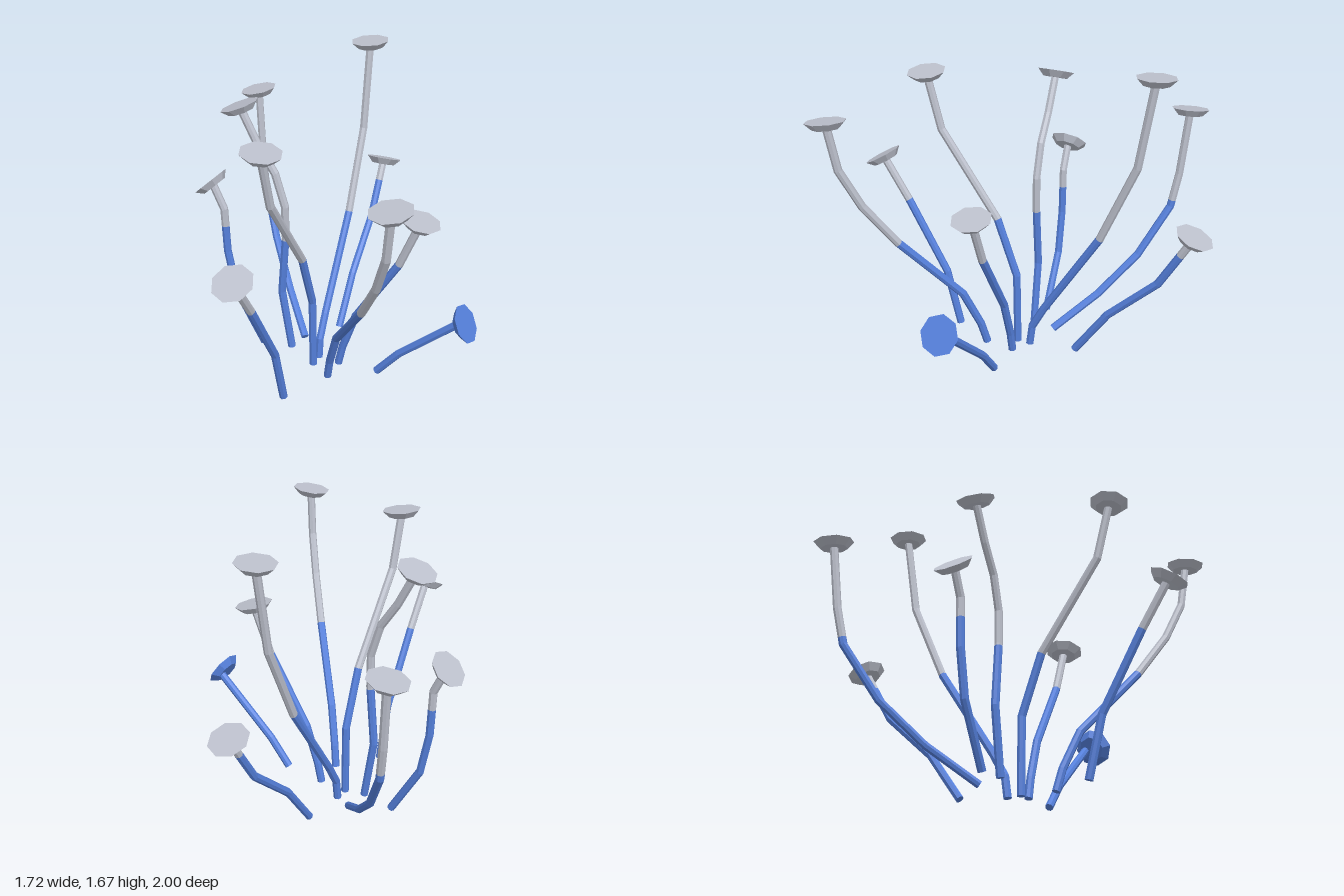
import * as THREE from 'three';

const SPLIT = 0.757; // height where the colour changes
const R = 0.022, SIDES = 8;

// Adds a path point where the stalk crosses the colour change.
function withSplit(path) {
  const out = [path[0]];
  for (let i = 1; i < path.length; i++) {
    const [a, b] = [path[i - 1], path[i]];
    const t = (SPLIT - a[1]) / (b[1] - a[1]);
    if (t > 0.03 && t < 0.97) out.push([a[0] + (b[0] - a[0]) * t, SPLIT]);
    out.push(b);
  }
  return out;
}

// Mitred, faceted tube along points lying in one vertical plane.
function stemGeometry(pts, side) {
  const last = pts.length - 1;
  const step = (i) => pts[i + 1].clone().sub(pts[i]).normalize();
  const rings = pts.map((pt, i) => {
    const ahead = step(Math.min(i, last - 1));
    const along = step(Math.max(i - 1, 0)).add(ahead).normalize();
    const up = along.clone().cross(side).divideScalar(along.dot(ahead));
    return Array.from({ length: SIDES }, (_, k) => {
      const w = (k / SIDES) * Math.PI * 2;
      return pt.clone().addScaledVector(side, R * Math.cos(w)).addScaledVector(up, R * Math.sin(w));
    });
  });
  const corners = [];
  const geo = new THREE.BufferGeometry();
  for (let i = 0; i < last; i++) {
    const start = corners.length;
    for (let k = 0; k < SIDES; k++) {
      const m = (k + 1) % SIDES;
      const [a, b, c, e] = [rings[i][k], rings[i][m], rings[i + 1][m], rings[i + 1][k]];
      corners.push(a, b, c, a, c, e);
      if (i === 0) corners.push(pts[0], b, a); // closed foot
    }
    geo.addGroup(start, corners.length - start, (pts[i].y + pts[i + 1].y) / 2 > SPLIT ? 1 : 0);
  }
  geo.setFromPoints(corners);
  geo.computeVertexNormals();
  return geo;
}

export function createModel() {
  const group = new THREE.Group();
  const blue = new THREE.MeshStandardMaterial({ color: 0x5580dc });
  blue.name = 'blue';
  const grey = new THREE.MeshStandardMaterial({ color: 0xbcc0cc });
  grey.name = 'paleGrey';

  // Faceted dish with its top face at the origin
  const headGeo = new THREE.CylinderGeometry(0.105, 0.07, 0.036, 8).translate(0, -0.018, 0).toNonIndexed();
  headGeo.computeVertexNormals();

  // heading: degrees from +z towards +x; path: [distance, height] from (x, z);
  // facing: direction of the dish; shift: sideways offset of the dish in z
  function addStalk(name, x, z, heading, path, facing, shift = 0) {
    const a = THREE.MathUtils.degToRad(heading);
    const [dx, dz] = [Math.sin(a), Math.cos(a)];
    const pts = withSplit(path).map(([s, y]) => new THREE.Vector3(x + dx * s, y, z + dz * s));
    const normal = new THREE.Vector3(...facing).normalize();
    const tip = pts[pts.length - 1];

    const stem = new THREE.Mesh(stemGeometry(pts, new THREE.Vector3(-dz, 0, dx)), [blue, grey]);
    stem.name = 'stem';
    const head = new THREE.Mesh(headGeo, tip.y > SPLIT ? grey : blue);
    head.name = 'head';
    head.position.copy(tip).addScaledVector(normal, 0.018);
    head.position.z += shift;
    head.quaternion.setFromUnitVectors(new THREE.Vector3(0, 1, 0), normal);

    const stalk = new THREE.Group();
    stalk.name = name;
    stalk.add(stem, head);
    group.add(stalk);
  }

  // Front and back stalks
  addStalk('frontLowStalk', -0.06, 0, 0,
    [[0.44, 0.04], [0.52, 0.36], [0.75, 0.765], [0.898, 0.997]], [0.03, 1, 0.56]);
  addStalk('frontTallStalk', -0.06, 0, 0,
    [[0.075, 0.015], [0.08, 0.43], [0.195, 0.755], [0.525, 1.225], [0.603, 1.522]], [0.13, 1, 0.05]);
  addStalk('backLowStalk', -0.06, 0, 180,
    [[0.275, 0.05], [0.46, 0.315], [0.73, 0.57], [0.9, 0.86]], [0, 1, -0.42]);
  addStalk('backTallStalk', -0.06, 0, 180,
    [[0, 0.015], [0.015, 0.13], [0.085, 0.26], [0.4, 0.757], [0.59, 1.195], [0.664, 1.66]], [-0.08, 1, 0]);

  // Right side stalks
  addStalk('rightLowStalk', 0, 0.042, 270,
    [[0.385, 0.05], [0.555, 0.355], [0.601, 0.6], [0.61, 0.86], [0.675, 1.002]], [-0.92, 1, 0]);
  addStalk('rightTallStalk', 0, 0.042, 270,
    [[0.21, 0.07], [0.265, 0.425], [0.235, 0.77], [0.235, 0.955], [0.29, 1.14], [0.385, 1.285], [0.481, 1.475]],
    [-0.38, 1, 0]);

  // Left side stalks
  addStalk('leftTallStalk', 0, 0.042, 90,
    [[0.08, 0.045], [0.105, 0.16], [0.18, 0.38], [0.42, 0.765], [0.526, 1.025]], [0.24, 1, 0]);
  addStalk('leftShortStalk', 0, 0.042, 90,
    [[0.31, 0.06], [0.435, 0.21], [0.794, 0.527]], [0.87, 0.5, 0.02], 0.04);

  // Diagonal stalks
  addStalk('frontLeftStalk', 0.085, 0.195, 45,
    [[0, 0.06], [0.035, 0.18], [0.134, 0.39], [0.474, 0.757], [0.65, 0.995], [0.757, 1.21], [0.799, 1.455]],
    [-0.1, 1, 0.12]);
  addStalk('backRightStalk', -0.19, -0.085, 225,
    [[0, 0.06], [0.276, 0.235], [0.516, 0.445], [0.707, 0.72], [0.75, 0.915], [0.792, 1.275]],
    [-0.2, 1, 0.02]);

  return group;
}
